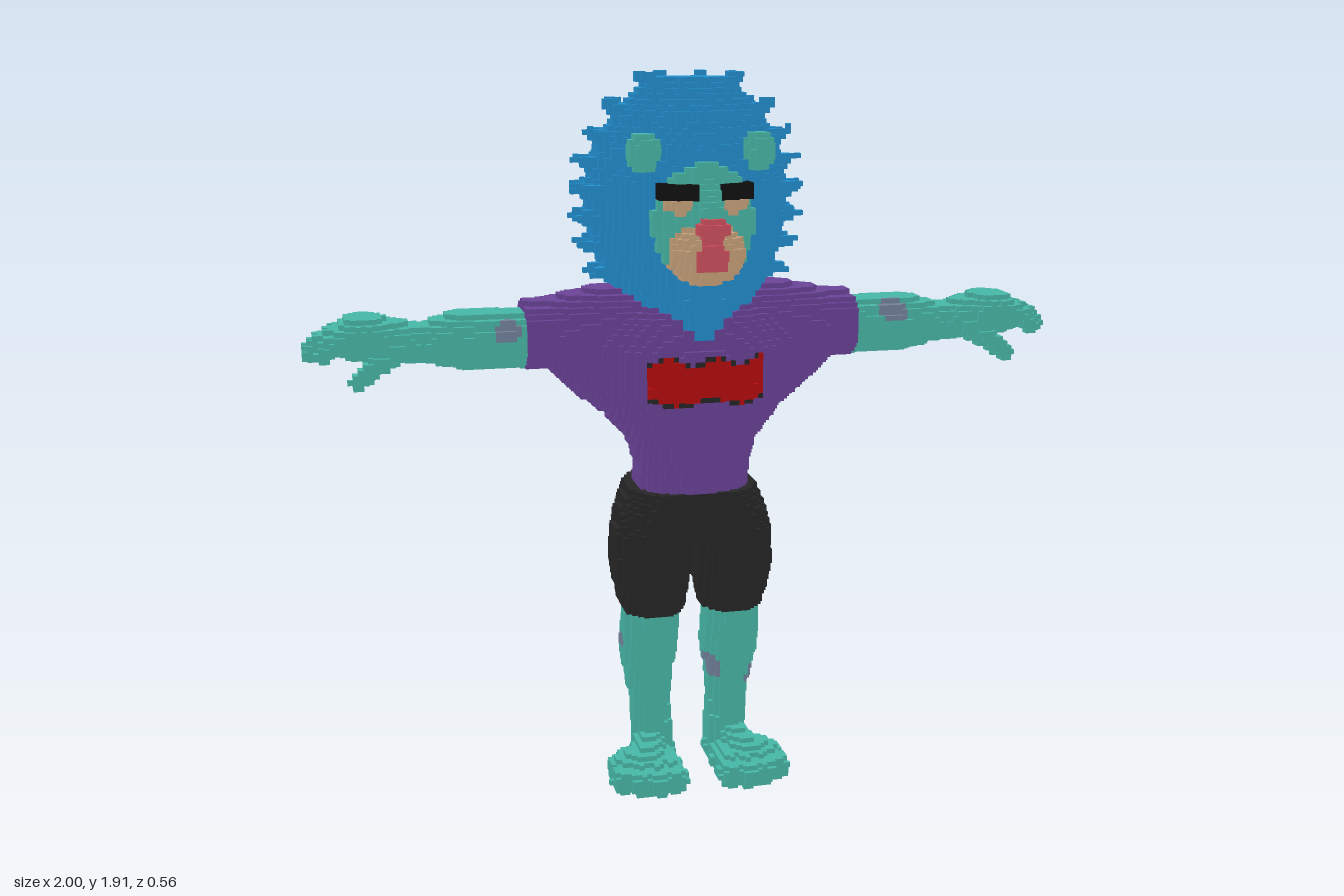
import * as THREE from 'three';

// Voxel grid: cell size, counts and lowest corner
const V = 2 / 150, N = [150, 146, 46], LOW = [-1, 0, -0.3067];
const COLORS = {
  skin: 0x47b8a8, shirt: 0x6b4499, shorts: 0x262626, hair: 0x218fd0, muzzle: 0xcaa47c,
  nose: 0xd0505f, print: 0xb80c0c, brow: 0x101010, bruise: 0x74839c,
};

// ---- solids: each returns a test (x, y, z) => inside, some with a bounding box ----
function ellipsoid(cx, cy, cz, rx, ry, rz) {
  const f = (x, y, z) => ((x - cx) / rx) ** 2 + ((y - cy) / ry) ** 2 + ((z - cz) / rz) ** 2 <= 1;
  f.box = [[cx - rx, cy - ry, cz - rz], [cx + rx, cy + ry, cz + rz]];
  return f;
}
function cone(a, b, ra, rb) {
  const d = b.map((v, i) => v - a[i]), len2 = d[0] ** 2 + d[1] ** 2 + d[2] ** 2, r = Math.max(ra, rb);
  const f = (x, y, z) => {
    const p = [x - a[0], y - a[1], z - a[2]];
    const t = Math.min(1, Math.max(0, (p[0] * d[0] + p[1] * d[1] + p[2] * d[2]) / len2));
    return Math.hypot(p[0] - d[0] * t, p[1] - d[1] * t, p[2] - d[2] * t) <= ra + (rb - ra) * t;
  };
  f.box = [a.map((v, i) => Math.min(v, b[i]) - r), a.map((v, i) => Math.max(v, b[i]) + r)];
  return f;
}
// Row of a profile table interpolated at t, or null outside it
function section(rows, t) {
  for (let i = 1; i < rows.length; i++) {
    const a = rows[i - 1], b = rows[i];
    if (t >= a[0] && t <= b[0]) return a.map((v, k) => v + (b[k] - v) * (t - a[0]) / (b[0] - a[0]));
  }
  return null;
}
// Rows are [t, u min, u max, v min, v max] with superellipse sections
function loft(rows, p) {
  return (t, u, v) => {
    const s = section(rows, t);
    if (!s) return false;
    const du = Math.abs((2 * u - s[1] - s[2]) / (s[2] - s[1]));
    const dv = Math.abs((2 * v - s[3] - s[4]) / (s[4] - s[3]));
    return du ** p + dv ** p <= 1;
  };
}
const upright = (rows, p) => { const f = loft(rows, p); return (x, y, z) => f(y, x, z); };

// ---- hair profile: [y, half width, front z, back z] ----
const HAIR = [
  [1.18, .03, -.05, -.22], [1.24, .09, .165, -.22], [1.33, .19, .175, -.225], [1.42, .23, .175, -.235],
  [1.52, .26, .175, -.235], [1.62, .265, .175, -.235], [1.72, .24, .17, -.215], [1.80, .19, .14, -.17],
  [1.86, .14, .07, -.12], [1.895, .06, .02, -.07],
];
function hairMass(x, y, z) {
  const s = section(HAIR, y);
  if (!s) return false;
  const zc = s[2] * .35 + s[3] * .65 + .05, front = z > zc, p = front ? 1.6 : 2.3;
  return Math.abs(x / s[1]) ** p + Math.abs((z - zc) / (front ? s[2] - zc : zc - s[3])) ** p <= 1;
}
function hairTufts() {
  const tufts = [];
  for (let row = 0; row < 10; row++) {
    const y = 1.27 + row * .067, s = section(HAIR, Math.min(y, 1.89)), zc = s[2] * .35 + s[3] * .65 + .05;
    const n = Math.max(6, Math.round(s[1] * 66 / 2) * 2);
    for (let i = 0; i < n; i++) {
      const a = Math.PI / 2 + (i + (row % 2) / 2) / n * Math.PI * 2, c = Math.cos(a), q = Math.sin(a);
      if (q > .35 && y > 1.34 && y < 1.79) continue; // keep the face clear
      const front = q > 0, e = 2 / (front ? 1.6 : 2.3);
      const px = s[1] * Math.sign(c) * Math.abs(c) ** e;
      const pz = zc + (front ? s[2] - zc : zc - s[3]) * Math.sign(q) * Math.abs(q) ** e;
      const up = -.5 + (y - 1.27) * 2.2, k = (front && q > .4 ? .015 : .05) / Math.hypot(1, up);
      tufts.push(cone([px - c * .025, y - up * .015, pz - q * .025],
        [px + c * k, Math.min(1.92, y + up * k), pz + q * k], .036, .005));
    }
  }
  return tufts;
}

export function createModel() {
  const grid = new Uint8Array(N[0] * N[1] * N[2]), parts = [null];
  const at = (i, j, k) => (i + N[0] * (j + N[1] * k));
  const partId = (name, color) => {
    const found = parts.findIndex((p) => p && p.name === name);
    return found > 0 ? found : parts.push({ name, color }) - 1;
  };
  const visit = (box, fn) => {
    const lo = N.map((n, d) => box ? Math.max(0, Math.floor((box[0][d] - LOW[d]) / V)) : 0);
    const hi = N.map((n, d) => box ? Math.min(n, Math.ceil((box[1][d] - LOW[d]) / V)) : n);
    for (let k = lo[2]; k < hi[2]; k++) for (let j = lo[1]; j < hi[1]; j++) for (let i = lo[0]; i < hi[0]; i++)
      fn(LOW[0] + (i + .5) * V, LOW[1] + (j + .5) * V, LOW[2] + (k + .5) * V, at(i, j, k));
  };
  const fill = (name, color, ...tests) => {
    const id = partId(name, color);
    for (const t of tests) visit(t.box, (x, y, z, c) => { if (t(x, y, z)) grid[c] = id; });
  };
  // Fill both sides from a description of the left (+x) side
  const pair = (name, color, ...tests) => {
    const ids = [partId('left' + name, color), partId('right' + name, color)];
    for (const t of tests) visit(null, (x, y, z, c) => { if (t(Math.abs(x), y, z)) grid[c] = ids[x > 0 ? 0 : 1]; });
  };
  // Recolour cells that are already part of the named colour
  const paint = (name, color, base, test) => {
    const id = partId(name, color);
    visit(null, (x, y, z, c) => { if (grid[c] && parts[grid[c]].color === base && test(x, y, z)) grid[c] = id; });
  };

  // Legs and splayed feet with toes
  pair('Leg', 'skin', upright([[.04, .045, .155, -.08, .04], [.12, .05, .155, -.08, .03], [.2, .06, .16, -.08, .025],
    [.28, .05, .175, -.09, .035], [.36, .04, .19, -.105, .05], [.44, .04, .185, -.085, .08], [.5, .045, .18, -.07, .085]], 2.3));
  const toes = [[.08, .155], [.125, .165], [.17, .155], [.212, .13]]
    .map(([x, z]) => cone([.11 + (x - .11) * .6, .045, .05], [x, .036, z], .04, .036));
  pair('Foot', 'skin', cone([.1, .045, -.03], [.14, .04, .07], .054, .06),
    cone([.105, .09, -.02], [.145, .05, .09], .045, .05), ellipsoid(.145, .04, .07, .1, .055, .085), ...toes);

  // Shorts
  pair('ShortsSide', 'shorts',
    upright([[.48, .03, .185, -.09, .09], [.52, .02, .2, -.1, .105], [.6, .01, .215, -.125, .125],
      [.7, .004, .212, -.14, .138], [.76, -.03, .197, -.155, .138], [.83, -.06, .17, -.16, .135]], 2.4),
    upright([[.68, -.1, .1, -.11, .1], [.74, -.17, .17, -.155, .138], [.83, -.168, .168, -.16, .135]], 2.5));

  // Shirt body and sleeves
  fill('shirtBody', 'shirt', upright([[.83, -.15, .15, -.145, .13], [.9, -.152, .152, -.115, .135],
    [.96, -.17, .17, -.14, .14], [1.03, -.23, .23, -.17, .155], [1.1, -.27, .27, -.19, .172], [1.2, -.28, .28, -.195, .17],
    [1.28, -.25, .25, -.19, .15], [1.36, -.14, .14, -.16, .09]], 2.3));
  pair('Sleeve', 'shirt', loft([[.12, 1.02, 1.365, -.165, .12], [.25, 1.04, 1.36, -.155, .1],
    [.33, 1.11, 1.345, -.14, .09], [.38, 1.16, 1.33, -.133, .085], [.445, 1.16, 1.328, -.128, .082]], 2.4));

  // Plain print on the chest with a dark edge
  const patch = (grow) => (x, y, z) => z > .08 && Math.abs(x - .008) < .15 + grow
    && y < 1.183 + grow + .012 * Math.sin(x * 50) && y > 1.083 - grow + .01 * Math.sin(x * 38 + 1);
  paint('chestPrintEdge', 'shorts', 'shirt', patch(.008));
  paint('chestPrintEdge', 'shorts', 'shirt', patch(.008));
  const inner = patch(0);
  visit(null, (x, y, z, c) => {
    if (grid[c] && parts[grid[c]].name === 'chestPrintEdge' && inner(x, y, z)) grid[c] = partId('chestPrint', 'print');
  });

  // Arms, hands, fingers and thumbs
  pair('Arm', 'skin', loft([[.445, 1.165, 1.305, -.11, .07], [.52, 1.165, 1.31, -.115, .066], [.6, 1.165, 1.312, -.11, .06],
    [.7, 1.188, 1.282, -.095, .045], [.76, 1.192, 1.29, -.105, .055], [.83, 1.198, 1.312, -.12, .072],
    [.88, 1.2, 1.31, -.115, .066], [.92, 1.215, 1.28, -.1, .05]], 2.4));
  const fingers = [[-.086, .955], [-.045, .98], [-.003, .978], [.038, .95]].flatMap(([z, x]) => [
    cone([.86, 1.268, z], [x - .03, 1.248, z], .03, .025), cone([x - .03, 1.248, z], [x, 1.22, z], .025, .021)]);
  pair('Hand', 'skin', ...fingers, cone([.77, 1.225, .035], [.83, 1.185, .055], .032, .027),
    cone([.83, 1.185, .055], [.868, 1.155, .06], .026, .022));

  // Mane
  fill('mane', 'hair', hairMass, ...hairTufts());

  // Face, ears, bridge of the nose
  fill('face', 'skin', (x, y, z) => (x / .13) ** 2 + ((y - 1.54) / .15) ** 2 < 1 && z > 0 && z < .207 - .36 * Math.abs(x),
    cone([0, 1.645, .175], [0, 1.575, .225], .03, .03));
  pair('Ear', 'skin', ellipsoid(.148, 1.715, .12, .042, .052, .04));
  pair('Eye', 'muzzle', ellipsoid(.068, 1.59, .17, .036, .026, .03));
  fill('muzzle', 'muzzle', ellipsoid(0, 1.465, .165, .1, .08, .088));
  fill('nose', 'nose', ellipsoid(0, 1.535, .245, .043, .027, .038));
  paint('mouth', 'nose', 'muzzle', (x, y, z) => Math.abs(x) < .03 + (y < 1.48 ? .01 : 0) && y > 1.43 && y < 1.535 && z > .2);
  pair('Brow', 'brow', (x, y, z) => x > .022 && x < .118 && Math.abs(y - 1.62) < .014 && z > .1 && z < .219 - .33 * x);

  // Bruises on the limbs
  const spots = [[.55, 1.28, .04, .042, .033], [-.49, 1.265, .06, .035, .03], [.06, .3, .0, .026, .04], [.155, .27, -.02, .028, .032],
    [-.12, .33, -.1, .032, .03], [.12, .23, -.085, .025, .025], [-.17, .38, -.04, .02, .03]];
  for (const [x, y, z, rx, ry] of spots) paint('bruises', 'bruise', 'skin', ellipsoid(x, y, z, rx, ry, .04));

  // Turn exposed cell faces into one mesh per part
  const data = parts.map(() => ({ pos: [], nor: [] }));
  const cell = [0, 0, 0];
  for (cell[2] = 0; cell[2] < N[2]; cell[2]++) for (cell[1] = 0; cell[1] < N[1]; cell[1]++) for (cell[0] = 0; cell[0] < N[0]; cell[0]++) {
    const id = grid[at(...cell)];
    if (!id) continue;
    for (let d = 0; d < 3; d++) for (const s of [1, -1]) {
      const next = [...cell];
      next[d] += s;
      if (next[d] >= 0 && next[d] < N[d] && grid[at(...next)]) continue;
      const corner = (a, b) => {
        const o = [...cell];
        o[d] += s > 0 ? 1 : 0; o[(d + 1) % 3] += a; o[(d + 2) % 3] += b;
        return o.map((v, i) => LOW[i] + v * V);
      };
      const q = [corner(0, 0), corner(1, 0), corner(1, 1), corner(0, 1)];
      if (s < 0) q.reverse();
      const n = [0, 0, 0];
      n[d] = s;
      for (const i of [0, 1, 2, 0, 2, 3]) { data[id].pos.push(...q[i]); data[id].nor.push(...n); }
    }
  }
  const materials = {};
  for (const [name, color] of Object.entries(COLORS)) {
    materials[name] = new THREE.MeshStandardMaterial({ color });
    materials[name].name = name;
  }
  const model = new THREE.Group();
  model.name = 'manedFigure';
  parts.forEach((part, id) => {
    if (!part || !data[id].pos.length) return;
    const geo = new THREE.BufferGeometry();
    geo.setAttribute('position', new THREE.Float32BufferAttribute(data[id].pos, 3));
    geo.setAttribute('normal', new THREE.Float32BufferAttribute(data[id].nor, 3));
    const mesh = new THREE.Mesh(geo, materials[part.color]);
    mesh.name = part.name;
    model.add(mesh);
  });
  return model;
}
